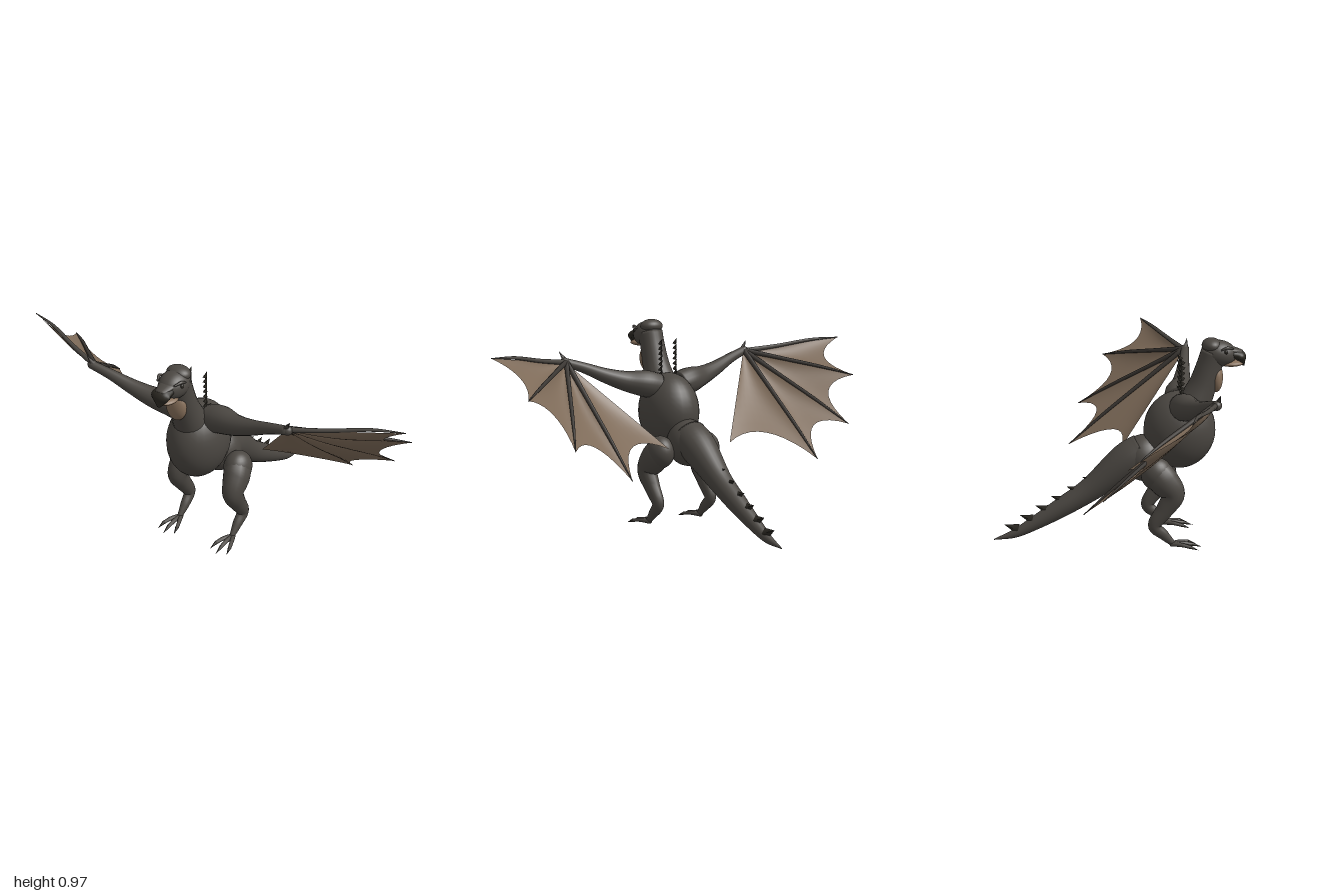
import * as THREE from 'three';

const paint = (name, color, side = THREE.FrontSide) => {
  const m = new THREE.MeshStandardMaterial({ color, side });
  m.name = name;
  return m;
};
const V = (x, y, z) => new THREE.Vector3(x, y, z);

// Tapered tube through stations [x, y, z, radius], closed at both ends
function loft(stations, material, name, { steps = 6, sides = 16, width = 1 } = {}) {
  const path = new THREE.CatmullRomCurve3(stations.map(p => V(p[0], p[1], p[2])), false, 'catmullrom');
  const size = new THREE.CatmullRomCurve3(stations.map(p => V(p[3], 0, 0)), false, 'catmullrom');
  const n = (stations.length - 1) * steps;
  const span = path.getPoint(1).sub(path.getPoint(0)).normalize();
  const ref = Math.abs(span.x) > 0.6 ? V(0, 0, 1) : V(1, 0, 0);
  const pos = [], index = [];
  for (let i = -1; i <= n + 1; i++) {
    const t = THREE.MathUtils.clamp(i / n, 0, 1);
    const p = path.getPoint(t), tan = path.getTangent(t);
    const r = i < 0 || i > n ? 0 : Math.max(size.getPoint(t).x, 0.001);
    const side = ref.clone().addScaledVector(tan, -ref.dot(tan)).normalize();
    const up = tan.clone().cross(side);
    for (let j = 0; j < sides; j++) {
      const a = (j / sides) * Math.PI * 2;
      const q = p.clone().addScaledVector(side, Math.cos(a) * r * width).addScaledVector(up, Math.sin(a) * r);
      pos.push(q.x, q.y, q.z);
    }
  }
  for (let i = 0; i < n + 2; i++) {
    for (let j = 0; j < sides; j++) {
      const a = i * sides + j, b = i * sides + (j + 1) % sides;
      index.push(a, b, a + sides, b, b + sides, a + sides);
    }
  }
  const g = new THREE.BufferGeometry();
  g.setAttribute('position', new THREE.Float32BufferAttribute(pos, 3));
  g.setIndex(index);
  g.computeVertexNormals();
  const mesh = new THREE.Mesh(g, material);
  mesh.name = name;
  return mesh;
}

function ball(c, r, material, name, tilt = 0) {
  const mesh = new THREE.Mesh(new THREE.SphereGeometry(1, 28, 20), material);
  mesh.position.set(...c);
  mesh.scale.set(...r);
  mesh.rotation.x = tilt;
  mesh.name = name;
  return mesh;
}

// Cone from a base point to a tip
function spike(from, to, r, material, name, sides = 8) {
  const a = V(...from), d = V(...to).sub(a), len = d.length();
  const mesh = new THREE.Mesh(new THREE.ConeGeometry(r, len, sides), material);
  mesh.position.copy(a).addScaledVector(d, 0.5);
  mesh.quaternion.setFromUnitVectors(V(0, 1, 0), d.normalize());
  mesh.name = name;
  return mesh;
}

// Scalloped membrane, a fan of panels from the wrist that belly forward and down between the fingers
function membrane(wrist, tips, material) {
  const pos = [], index = [], rows = 10, cols = 10;
  for (let k = 0; k < tips.length - 1; k++) {
    const base = pos.length / 3;
    const mid = tips[k].clone().lerp(tips[k + 1], 0.5).lerp(wrist, 0.39);
    const edge = new THREE.QuadraticBezierCurve3(tips[k], mid, tips[k + 1]);
    for (let i = 0; i <= rows; i++) {
      for (let j = 0; j <= cols; j++) {
        const u = i / rows, v = j / cols;
        const p = wrist.clone().lerp(edge.getPoint(v), u);
        const sag = 0.024 * Math.sin(Math.PI * v) * Math.sin(Math.PI * u * 0.8);
        pos.push(p.x, p.y - sag * 0.78, p.z + sag * 0.63);
      }
    }
    for (let i = 0; i < rows; i++) {
      for (let j = 0; j < cols; j++) {
        const a = base + i * (cols + 1) + j, c = a + cols + 1;
        index.push(a, c, a + 1, a + 1, c, c + 1);
      }
    }
  }
  const g = new THREE.BufferGeometry();
  g.setAttribute('position', new THREE.Float32BufferAttribute(pos, 3));
  g.setIndex(index);
  g.computeVertexNormals();
  const mesh = new THREE.Mesh(g, material);
  mesh.name = 'wingMembrane';
  return mesh;
}

export function createModel() {
  const hide = paint('darkHide', 0x4b4742);
  const skin = paint('wingSkin', 0x7d6a58, THREE.DoubleSide);
  const tan = paint('throatTan', 0x866f5a);
  const bone = paint('fingerBone', 0x3a3632);
  const horn = paint('blackHorn', 0x2b2822);
  const model = new THREE.Group();
  model.name = 'wingedBeast';

  // Trunk, pelvis, neck and tail
  model.add(
    ball([0, 0.54, 0.29], [0.137, 0.186, 0.17], hide, 'chest'),
    ball([0, 0.405, 0.125], [0.102, 0.112, 0.108], hide, 'pelvis'),
    loft([[0, 0.435, 0.12, 0.088], [0, 0.385, 0.035, 0.086], [0, 0.257, -0.128, 0.058],
      [0, 0.172, -0.262, 0.047], [0, 0.098, -0.388, 0.034], [0, 0.045, -0.49, 0.021], [0, 0.017, -0.592, 0.002]],
    hide, 'tail', { sides: 24 }),
    loft([[0, 0.58, 0.32, 0.088], [0, 0.66, 0.355, 0.08], [0, 0.75, 0.395, 0.066], [0, 0.84, 0.425, 0.06],
      [0, 0.91, 0.447, 0.06]], hide, 'neck', { sides: 24 }));

  // Head with hooked beak, jaw and throat pouch
  model.add(
    ball([0, 0.903, 0.47], [0.066, 0.062, 0.083], hide, 'head', 0.15),
    ball([0, 0.942, 0.436], [0.058, 0.034, 0.046], hide, 'crest'),
    loft([[0, 0.928, 0.47, 0.022], [0, 0.917, 0.535, 0.016], [0, 0.907, 0.58, 0.009]], hide, 'snout', { width: 2.4 }),
    loft([[0, 0.902, 0.51, 0.024], [0, 0.898, 0.55, 0.024], [0, 0.887, 0.572, 0.026], [0, 0.866, 0.579, 0.017],
      [0, 0.842, 0.588, 0.004]], horn, 'beak', { width: 1.8 }),
    ball([0, 0.856, 0.528], [0.05, 0.016, 0.06], tan, 'lowerJaw'),
    ball([0, 0.787, 0.459], [0.052, 0.07, 0.032], tan, 'throatPouch'));

  // Ridge of tail spikes
  for (let i = 0; i < 6; i++) {
    const z = -0.15 - i * 0.071, y = 0.308 - i * 0.0465, k = 0.55 + i * 0.1;
    model.add(spike([0, y - 0.008 * k, z + 0.026 * k], [0, y + 0.014 * k, z - 0.034 * k], 0.024 * k, horn, 'tailSpike', 4));
  }

  for (const s of [1, -1]) {
    const side = new THREE.Group();
    side.name = s > 0 ? 'leftSide' : 'rightSide';

    // Eye and brow
    side.add(
      ball([s * 0.06, 0.921, 0.495], [0.007, 0.01, 0.009], horn, 'eye'),
      loft([[s * 0.062, 0.93, 0.472, 0.004], [s * 0.059, 0.94, 0.5, 0.007], [s * 0.044, 0.932, 0.532, 0.004]],
        hide, 'brow', { sides: 8 }));

    // Column of small back spines
    for (let i = 0; i < 8; i++) {
      const y = 0.69 + i * 0.025;
      side.add(spike([s * 0.042, y, 0.3], [s * 0.042, y + 0.026, 0.28], 0.011, horn, 'backSpine', 4));
    }

    // Wing arm
    side.add(loft([[s * 0.06, 0.665, 0.292, 0.062], [s * 0.13, 0.68, 0.3, 0.064], [s * 0.22, 0.695, 0.325, 0.049],
      [s * 0.32, 0.725, 0.345, 0.036], [s * 0.43, 0.768, 0.367, 0.025], [s * 0.53, 0.8, 0.385, 0.02]],
    hide, 'wingArm'));
    side.add(ball([s * 0.525, 0.798, 0.382], [0.024, 0.022, 0.022], hide, 'wrist'));
    side.add(spike([s * 0.515, 0.8, 0.385], [s * 0.548, 0.85, 0.396], 0.015, bone, 'thumbClaw'));

    // Wing fingers and membrane
    const wrist = V(s * 0.52, 0.795, 0.38);
    const tips = [V(s, 0.855, 0.21), V(s * 0.93, 0.682, 0.005), V(s * 0.78, 0.462, -0.135),
      V(s * 0.53, 0.318, -0.2), V(s * 0.175, 0.4, 0.03)];
    side.add(membrane(wrist, tips, skin));
    tips.slice(0, 4).forEach((tip, i) => {
      const at = (t, lift) => {
        const p = wrist.clone().lerp(tip, t);
        return [p.x, p.y + lift * 0.78, p.z - lift * 0.63];
      };
      const lift = i === 0 ? 0.003 : 0.008;
      side.add(loft([[...at(0, lift), 0.013], [...at(0.35, lift), 0.01], [...at(0.7, i === 0 ? 0.012 : lift), 0.008],
        [...at(1, 0), 0.002]], i === 0 ? hide : bone, 'wingFinger', { sides: 8 }));
    });

    // Hind leg
    side.add(
      ball([s * 0.132, 0.365, 0.168], [0.064, 0.078, 0.074], hide, 'hip'),
      loft([[s * 0.13, 0.385, 0.16, 0.066], [s * 0.145, 0.335, 0.198, 0.072], [s * 0.155, 0.27, 0.243, 0.056],
        [s * 0.155, 0.2, 0.208, 0.043], [s * 0.153, 0.12, 0.158, 0.032], [s * 0.15, 0.07, 0.2, 0.025],
        [s * 0.15, 0.022, 0.248, 0.013]], hide, 'leg', { width: 0.85 }));

    // Toes with claws
    for (const k of [-1, 0, 1]) {
      const x = t => s * 0.15 + k * 0.046 * t, len = k === 0 ? 1 : 0.85;
      side.add(
        loft([[x(0), 0.022, 0.235, 0.012], [x(0.5), 0.024, 0.235 + 0.055 * len, 0.01],
          [x(0.85), 0.017, 0.235 + 0.105 * len, 0.008]], hide, 'toe', { sides: 10 }),
        spike([x(0.82), 0.018, 0.235 + 0.1 * len], [x(1), 0.003, 0.235 + 0.148 * len], 0.009, horn, 'toeClaw'));
    }
    model.add(side);
  }
  return model;
}
